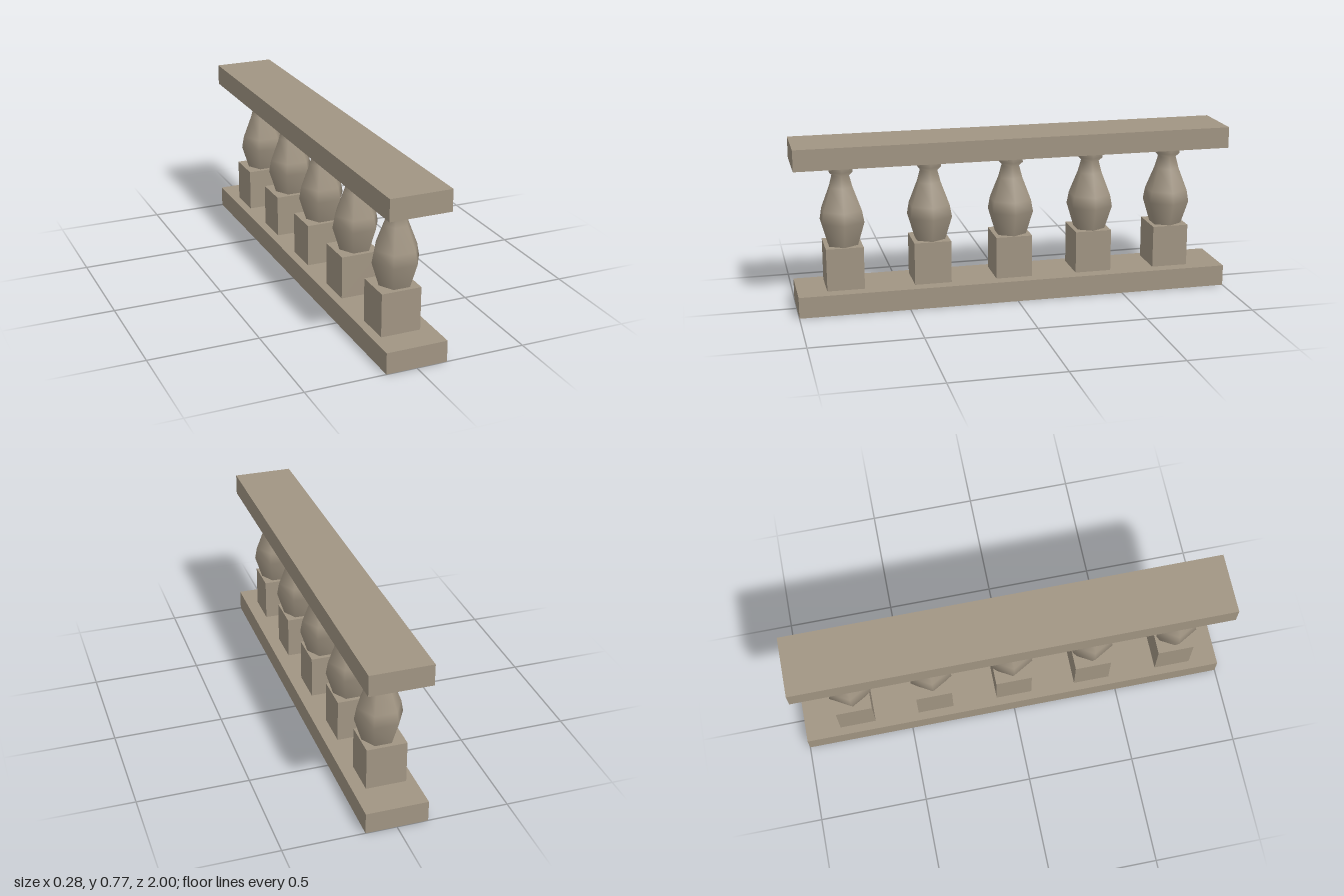
import * as THREE from 'three';

export function createModel() {
  const group = new THREE.Group();
  group.name = 'balustrade';
  const stone = new THREE.MeshStandardMaterial({ color: 0xa19583 });

  const add = (name, geometry, x, y, z) => {
    const mesh = new THREE.Mesh(geometry, stone);
    mesh.name = name;
    mesh.position.set(x, y, z);
    group.add(mesh);
  };

  // Bottom and top rails
  const rail = new THREE.BoxGeometry(0.278, 0.097, 2);
  add('bottomRail', rail, 0, 0.0485, 0);
  add('topRail', rail, 0, 0.7185, 0);

  // Six-sided turned baluster, radius and height from base to neck ring
  const profile = [
    [0.075, 0.293], [0.109, 0.401], [0.099, 0.455], [0.057, 0.56],
    [0.042, 0.614], [0.06, 0.632], [0.055, 0.67],
  ].map(([r, y]) => new THREE.Vector2(r, y));
  const baluster = new THREE.LatheGeometry(profile, 6, Math.PI / 2);
  const pedestal = new THREE.BoxGeometry(0.181, 0.196, 0.169);

  // Five balusters, each on a block
  [0.782, 0.384, 0.005, -0.374, -0.751].forEach((z, i) => {
    add(`pedestal${i + 1}`, pedestal, -0.01, 0.195, z);
    add(`baluster${i + 1}`, baluster, 0, 0, z);
  });
  return group;
}
